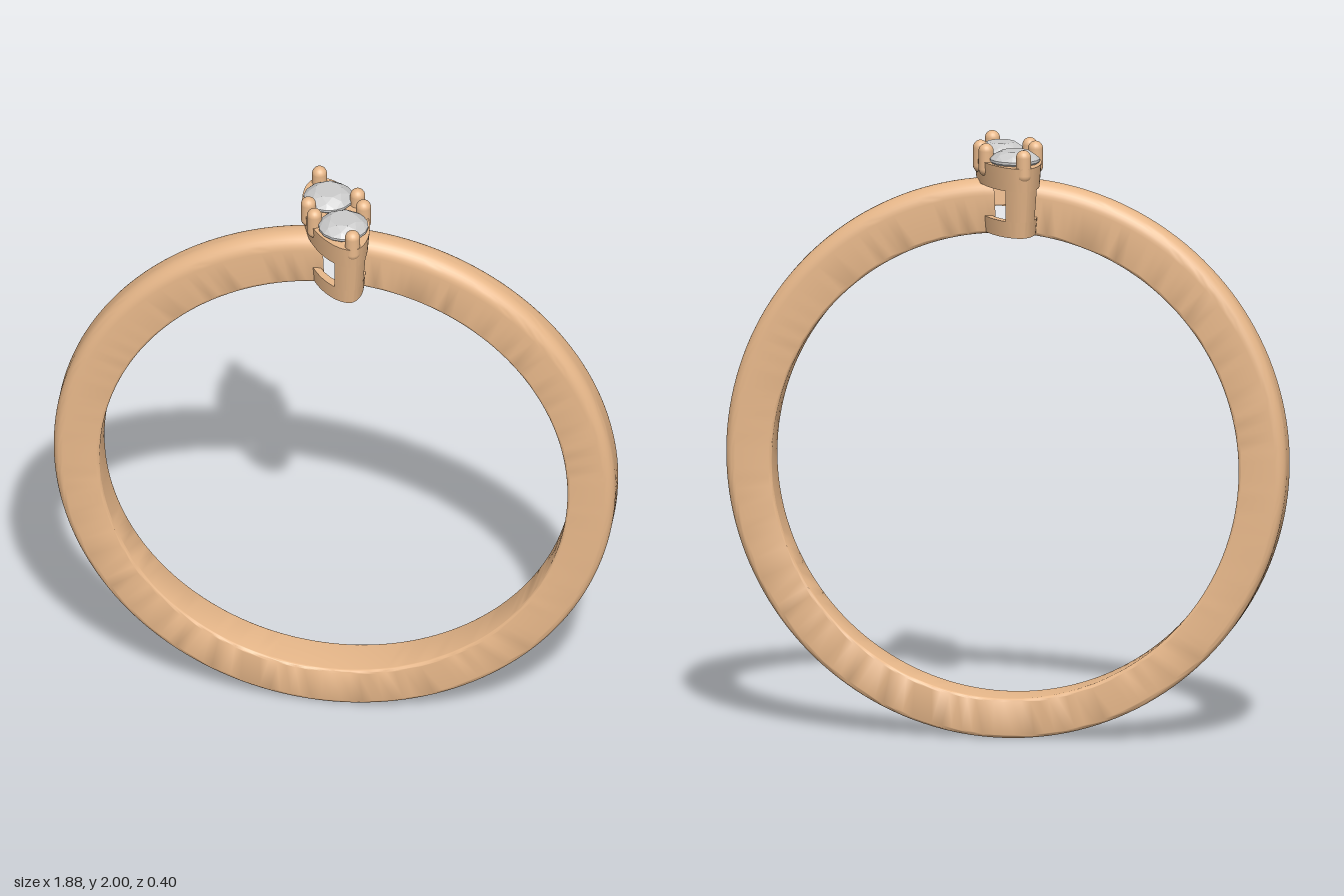
import * as THREE from 'three';
import { toCreasedNormals } from 'three/addons/utils/BufferGeometryUtils.js';
import { ConvexGeometry } from 'three/addons/geometries/ConvexGeometry.js';

const gold = new THREE.MeshStandardMaterial({ color: 0xe8b88a });
const grey = new THREE.MeshStandardMaterial({ color: 0xcccccc, flatShading: true });

function addMesh(parent, name, geometry, material) {
  const mesh = new THREE.Mesh(geometry, material);
  mesh.name = name;
  parent.add(mesh);
  return mesh;
}

// Cross-section of the band: [z, radius], k = 0 at the top and 1 at the bottom
function bandSection(theta) {
  const k = (1 - Math.cos(theta)) / 2;
  const half = 0.056 + 0.024 * k;
  const inner = 0.782, outer = 0.938 + 0.023 * Math.cos(theta);
  const rOut = 0.052 - 0.038 * k, rIn = 0.012;
  const corners = [
    [half - rIn, inner + rIn, rIn, -Math.PI / 2],
    [half - rOut, outer - rOut, rOut, 0],
    [-half + rOut, outer - rOut, rOut, Math.PI / 2],
    [-half + rIn, inner + rIn, rIn, Math.PI],
  ];
  const pts = [];
  for (const [cz, cr, r, start] of corners) {
    for (let i = 0; i <= 8; i++) {
      const a = start + (i / 8) * Math.PI / 2;
      pts.push([cz + r * Math.cos(a), cr + r * Math.sin(a)]);
    }
  }
  return pts;
}

// Open band whose two ends are cut parallel to the slanted head
function bandGeometry() {
  const steps = 160, cy = 0.915, slope = 0.46, gap = 0.06;
  const pos = [], index = [];
  const n = bandSection(0).length;
  const put = (z, r, s) => {
    const start = (gap + slope * z) / 0.87;
    const end = 2 * Math.PI - (gap - slope * z) / 0.87;
    const t = start + (end - start) * s;
    pos.push(r * Math.sin(t), cy + r * Math.cos(t), z);
  };
  for (let i = 0; i <= steps; i++) {
    const s = i / steps;
    for (const [z, r] of bandSection(s * 2 * Math.PI)) put(z, r, s);
  }
  for (let i = 0; i < steps; i++) {
    for (let j = 0; j < n; j++) {
      const a = i * n + j, b = i * n + (j + 1) % n;
      index.push(a, b, a + n, b, b + n, a + n);
    }
  }
  // End caps
  const c = pos.length / 3;
  put(0, 0.87, 0);
  put(0, 0.87, 1);
  for (let j = 0; j < n; j++) {
    const b = (j + 1) % n;
    index.push(c, b, j, c + 1, steps * n + j, steps * n + b);
  }
  const g = new THREE.BufferGeometry();
  g.setAttribute('position', new THREE.Float32BufferAttribute(pos, 3));
  g.setIndex(index);
  // Turn faces outward if the first side quad points inward
  const p = (i) => new THREE.Vector3().fromArray(pos, i * 3);
  const q = Math.floor(steps / 2) * n + 13;
  const normal = p(q + 1).sub(p(q)).cross(p(q + n).sub(p(q)));
  const out = p(q).sub(new THREE.Vector3(0, cy, 0));
  if (normal.dot(out) < 0) {
    for (let i = 0; i < index.length; i += 3) [index[i], index[i + 1]] = [index[i + 1], index[i]];
    g.setIndex(index);
  }
  return toCreasedNormals(g, 0.7);
}

// Pointed oval outline of the head; x is across, y is along
function ovalPoints(scale, from, to, count) {
  const pts = [];
  for (let i = 0; i < count; i++) {
    const a = from + (to - from) * i / count;
    const s = Math.sin(a);
    pts.push(new THREE.Vector2(
      0.1 * scale * Math.sign(s) * Math.abs(s) ** 1.15, 0.215 * scale * Math.cos(a)));
  }
  return pts;
}

// Slab of the head between two heights, narrowing downwards
function slab(shape, bottom, top) {
  const g = new THREE.ExtrudeGeometry(shape, { depth: top - bottom, bevelEnabled: false, curveSegments: 32 });
  g.rotateX(Math.PI / 2).translate(0, top, 0);
  const p = g.attributes.position;
  for (let i = 0; i < p.count; i++) {
    const s = 0.83 + 0.17 * (p.getY(i) - 1.7) / 0.24;
    p.setX(i, p.getX(i) * s);
    p.setZ(i, p.getZ(i) * s);
  }
  return toCreasedNormals(g, 0.6);
}

// Round brilliant cut stone with its girdle at y = 0
function stoneGeometry(r) {
  const pts = [new THREE.Vector3(0, -0.085, 0)];
  const ring = (radius, y, count, turn) => {
    for (let i = 0; i < count; i++) {
      const a = (i + turn) / count * Math.PI * 2;
      pts.push(new THREE.Vector3(radius * Math.cos(a), y, radius * Math.sin(a)));
    }
  };
  ring(r * 0.55, 0.031, 8, 0);
  ring(r * 0.8, 0.02, 8, 0.5);
  ring(r, 0.004, 16, 0);
  ring(r, -0.004, 16, 0);
  return new ConvexGeometry(pts);
}

export function createModel() {
  const model = new THREE.Group();
  model.name = 'ring';
  addMesh(model, 'band', bandGeometry(), gold);

  const head = new THREE.Group();
  head.name = 'head';
  head.rotation.y = 0.433;
  model.add(head);

  // Upper frame with two round seats
  const frame = new THREE.Shape(ovalPoints(1, 0, Math.PI * 2, 72));
  for (const side of [-1, 1]) {
    frame.holes.push(new THREE.Path().absarc(0, side * 0.085, 0.068, 0, Math.PI * 2));
  }
  addMesh(head, 'upperFrame', slab(frame, 1.86, 1.94), gold);

  // Lower open rail
  const rail = new THREE.Shape(ovalPoints(1, 0, Math.PI * 2, 72));
  rail.holes.push(new THREE.Path(ovalPoints(0.74, 0, Math.PI * 2, 72)));
  addMesh(head, 'lowerRail', slab(rail, 1.7, 1.755), gold);

  for (const side of [-1, 1]) {
    // Post at each tip
    const mid = side > 0 ? 0 : Math.PI;
    const post = new THREE.Shape(ovalPoints(1, mid - 0.66, mid + 0.72, 23));
    addMesh(head, 'post', slab(post, 1.755, 1.86), gold);

    // Stone
    addMesh(head, 'stone', stoneGeometry(0.083), grey).position.set(0, 1.95, side * 0.085);

    // Three prongs holding the stone
    for (const [x, z] of [[0, 0.19], [0.085, 0.034], [-0.085, 0.034]]) {
      const prong = new THREE.CapsuleGeometry(0.025, 0.06, 8, 20);
      addMesh(head, 'prong', prong, gold).position.set(x, 1.945, side * z);
    }
  }
  return model;
}
